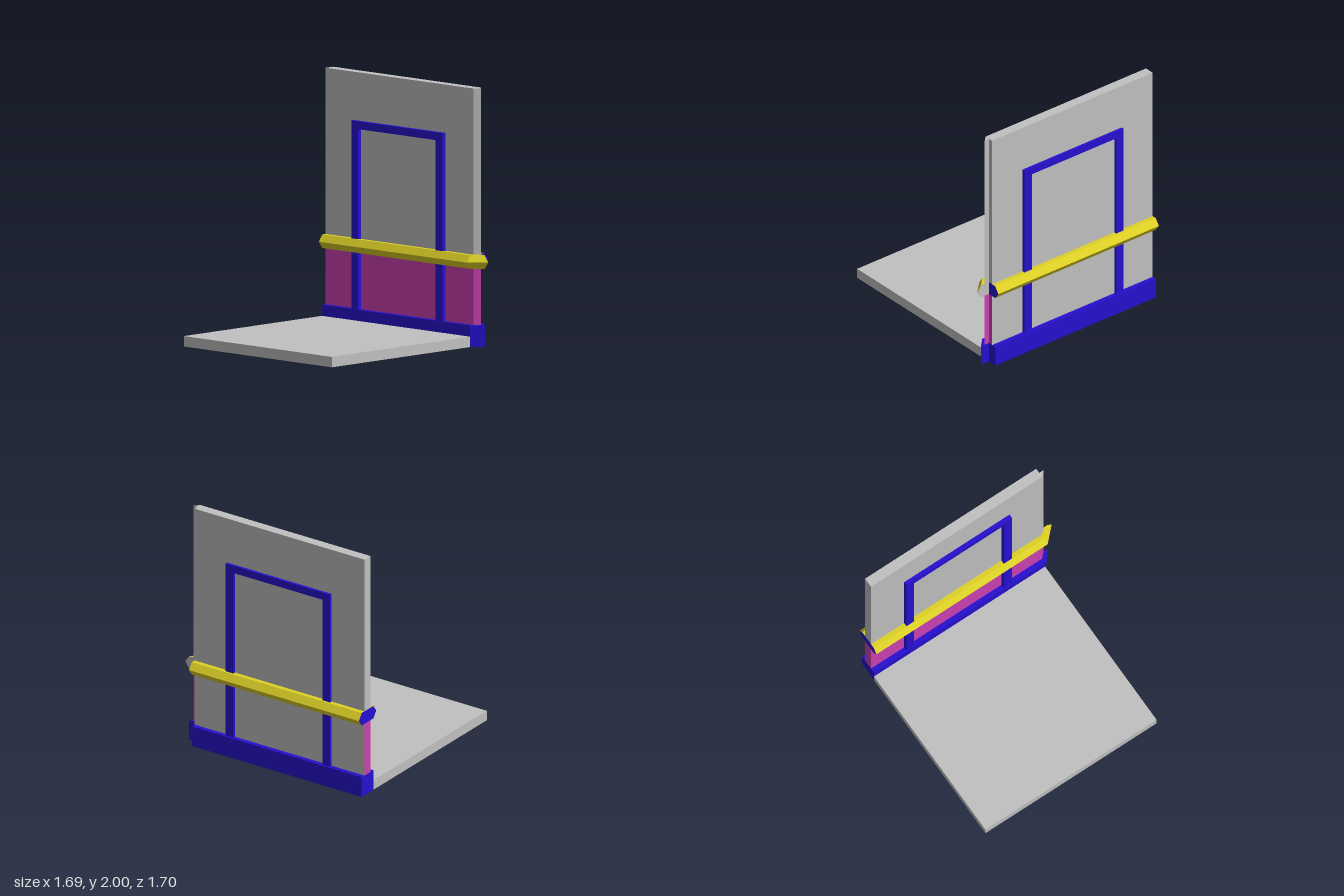
import * as THREE from 'three';

const mat = (name, color) => {
  const m = new THREE.MeshStandardMaterial({ color });
  m.name = name;
  return m;
};

export function createModel() {
  const grey = mat('grey', 0xc0c0c0);
  const blue = mat('blue', 0x2610d0);
  const yellow = mat('yellow', 0xddd026);
  const pink = mat('pink', 0xcc40b2);

  const group = new THREE.Group();
  const LEFT = -0.85, RIGHT = 0.725, MID = -0.735;

  const add = (name, geometry, material) => {
    const mesh = new THREE.Mesh(geometry, material);
    mesh.name = name;
    group.add(mesh);
  };

  // Axis-aligned box from its limits
  const box = (name, material, x0, x1, y0, y1, z0, z1) => {
    const g = new THREE.BoxGeometry(x1 - x0, y1 - y0, z1 - z0);
    g.translate((x0 + x1) / 2, (y0 + y1) / 2, (z0 + z1) / 2);
    add(name, g, material);
  };

  // Plan outline of a run with half thickness h; its front half ends in a 45 degree mitre
  const plan = (y, h) => [
    [LEFT, MID + h], [RIGHT, MID + h], [RIGHT + h, MID],
    [RIGHT, MID], [RIGHT, MID - h], [LEFT, MID - h],
  ].map(([x, z]) => [x, y, z]);

  // Stack of plan outlines. Materials: front, mitre, step, right end, back, left end, top, bottom
  const mitredRun = (name, levels, materials) => {
    const loops = levels.map(([y, h]) => plan(y, h));
    const pos = [];
    const g = new THREE.BufferGeometry();
    let start = 0;
    const closeGroup = (i) => {
      g.addGroup(start, pos.length / 3 - start, i);
      start = pos.length / 3;
    };
    for (let i = 0; i < 6; i++) {
      const j = (i + 1) % 6;
      for (let k = 0; k + 1 < loops.length; k++) {
        const a = loops[k], b = loops[k + 1];
        pos.push(...a[i], ...a[j], ...b[j], ...a[i], ...b[j], ...b[i]);
      }
      closeGroup(i);
    }
    const cap = [[0, 1, 3], [1, 2, 3], [0, 3, 5], [3, 4, 5]];
    const top = loops[loops.length - 1], bottom = loops[0];
    for (const [a, b, c] of cap) pos.push(...top[a], ...top[b], ...top[c]);
    closeGroup(6);
    for (const [a, b, c] of cap) pos.push(...bottom[a], ...bottom[c], ...bottom[b]);
    closeGroup(7);
    g.setAttribute('position', new THREE.Float32BufferAttribute(pos, 3));
    g.computeVertexNormals();
    add(name, g, materials);
  };

  // Floor slab
  box('floor', grey, LEFT, RIGHT, 0.02, 0.1, -0.655, 0.845);

  // Wall: skirting, lower panel, chair rail, upper panel
  mitredRun('skirting', [[0.02, 0.078], [0.185, 0.078]],
    [blue, blue, blue, blue, blue, blue, blue, grey]);
  mitredRun('lowerWall', [[0.185, 0.04], [0.62, 0.04]],
    [pink, pink, pink, pink, grey, pink, grey, grey]);
  mitredRun('chairRail', [[0.62, 0.077], [0.672, 0.115], [0.725, 0.077]],
    [yellow, yellow, grey, blue, yellow, blue, yellow, yellow]);
  mitredRun('upperWall', [[0.725, 0.04], [2, 0.04]], Array(8).fill(grey));

  // Door frame passing through the wall
  const Z0 = -0.797, Z1 = -0.663;
  box('rightDoorJamb', blue, -0.545, -0.475, 0.01, 1.57, Z0, Z1);
  box('leftDoorJamb', blue, 0.35, 0.425, 0.01, 1.57, Z0, Z1);
  box('doorHead', blue, -0.545, 0.425, 1.57, 1.63, Z0, Z1);

  // Door leaf inside the wall, its foot just below the skirting
  box('doorLeaf', grey, -0.475, 0.35, 0, 1.57, -0.765, -0.705);

  return group;
}
